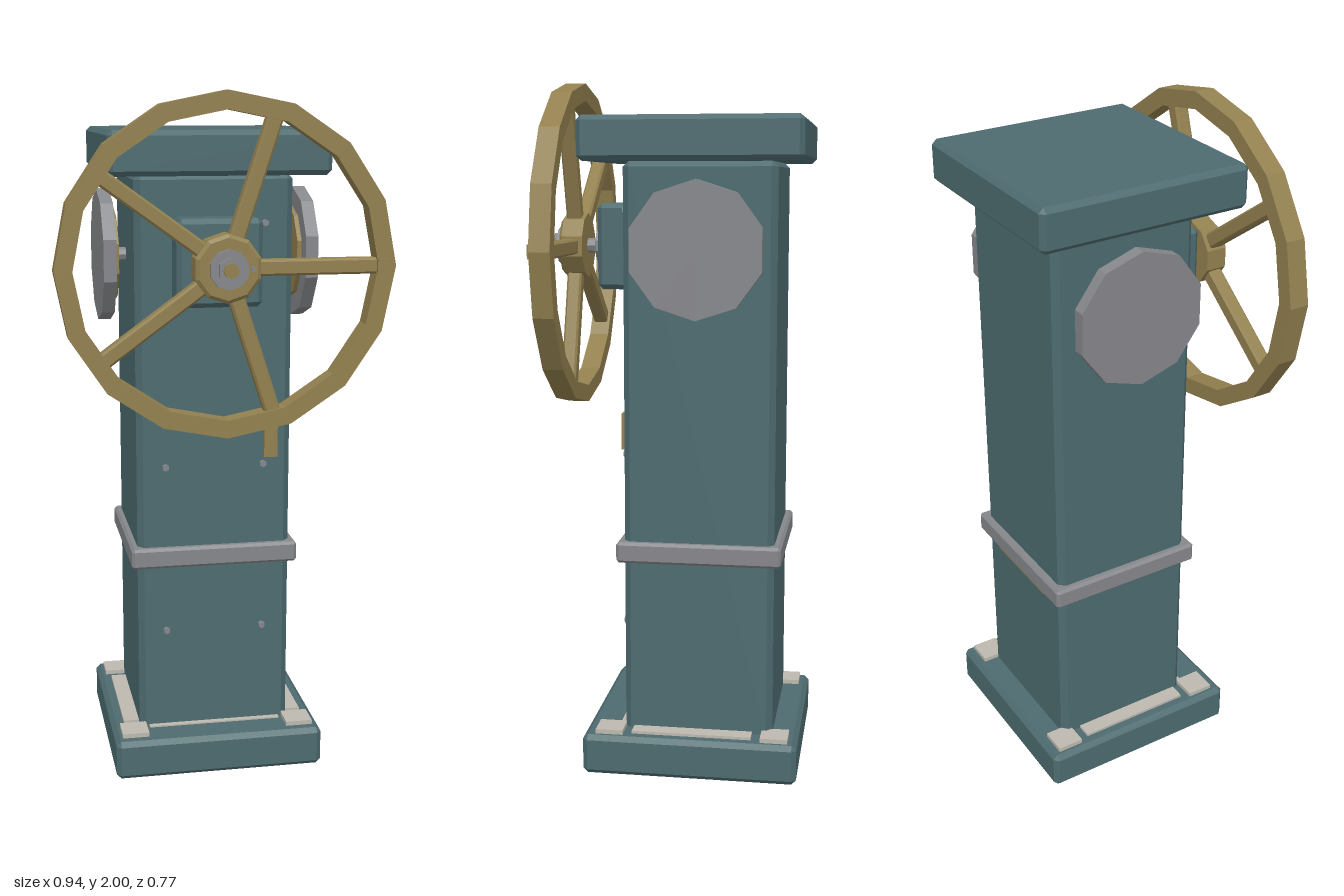
import * as THREE from 'three';
import { ConvexGeometry } from 'three/addons/geometries/ConvexGeometry.js';

const flat = (color, name) => {
  const m = new THREE.MeshStandardMaterial({ color, flatShading: true });
  m.name = name;
  return m;
};

// Box given by its x, y and z ranges, with every edge chamfered by c
function chamferBox([x0, x1], [y0, y1], [z0, z1], c) {
  const h = [(x1 - x0) / 2, (y1 - y0) / 2, (z1 - z0) / 2];
  const points = [];
  for (let axis = 0; axis < 3; axis++)
    for (const sx of [-1, 1]) for (const sy of [-1, 1]) for (const sz of [-1, 1]) {
      const s = [sx, sy, sz];
      points.push(new THREE.Vector3(...h.map((v, i) => s[i] * (i === axis ? v : v - c))));
    }
  return new ConvexGeometry(points).translate((x0 + x1) / 2, (y0 + y1) / 2, (z0 + z1) / 2);
}

function plainBox([x0, x1], [y0, y1], [z0, z1]) {
  return new THREE.BoxGeometry(x1 - x0, y1 - y0, z1 - z0)
    .translate((x0 + x1) / 2, (y0 + y1) / 2, (z0 + z1) / 2);
}

// Cylinder along z from z0 to z1
function zCylinder(r, z0, z1, sides, x = 0, y = 0, rFront = r) {
  return new THREE.CylinderGeometry(rFront, r, z1 - z0, sides)
    .rotateX(Math.PI / 2).translate(x, y, (z0 + z1) / 2);
}

// Cylinder along x from x0 to x1
function xCylinder(r, x0, x1, sides, y, z) {
  return new THREE.CylinderGeometry(r, r, x1 - x0, sides)
    .rotateZ(Math.PI / 2).rotateX(Math.PI / 2).translate((x0 + x1) / 2, y, z);
}

export function createModel() {
  const teal = flat(0x4d6b6f, 'teal paint');
  const steel = flat(0x86878b, 'grey steel');
  const brass = flat(0x92804f, 'aged brass');
  const pale = flat(0xbdb9af, 'pale plate');

  const model = new THREE.Group();
  model.name = 'handwheelPedestal';
  const add = (name, geometry, material, parent = model) => {
    const mesh = new THREE.Mesh(geometry, material);
    mesh.name = name;
    parent.add(mesh);
    return mesh;
  };

  // Column, base and cap
  const midZ = -0.09, axisY = 1.53;
  add('base', chamferBox([-0.312, 0.312], [0, 0.118], [-0.385, 0.241], 0.014), teal);
  add('column', chamferBox([-0.228, 0.228], [0.1, 1.775], [-0.308, 0.128], 0.018), teal);
  add('cap', chamferBox([-0.312, 0.312], [1.772, 1.895], [-0.385, 0.241], 0.014), teal);
  add('band', chamferBox([-0.248, 0.248], [0.625, 0.686], [-0.329, 0.149], 0.008), steel);
  add('rearPlate', plainBox([-0.14, 0.14], [0.61, 0.68], [-0.318, -0.3]), brass);

  // Pale foot plates on the base
  for (const side of [-1, 1]) {
    const span = (a, b) => (side > 0 ? [a, b] : [-b, -a]);
    for (const [z0, z1] of [[0.125, 0.205], [-0.358, -0.278]])
      add('cornerPad', plainBox(span(0.21, 0.29), [0.112, 0.131], [z0, z1]), pale);
    add('sideStrip', plainBox(span(0.22, 0.275), [0.112, 0.126], [-0.25, 0.1]), pale);
  }
  add('frontStrip', plainBox([-0.2, 0.2], [0.112, 0.122], [0.1, 0.145]), pale);

  // Round side covers
  for (const side of [-1, 1]) {
    const span = (a, b) => (side > 0 ? [a, b] : [-b, -a]);
    const cover = new THREE.Group();
    cover.name = side > 0 ? 'leftCover' : 'rightCover';
    model.add(cover);
    add('coverDisc', xCylinder(0.193, ...span(0.275, 0.312), 10, axisY, midZ), steel, cover);
    add('coverRing', xCylinder(0.138, ...span(0.262, 0.277), 10, axisY, midZ), brass, cover);
    add('coverPin', xCylinder(0.02, ...span(0.2, 0.27), 8, axisY, midZ), steel, cover);
  }

  // Front gearbox, bolts and latch
  add('gearbox', chamferBox([-0.122, 0.122], [1.408, 1.655], [0.11, 0.222], 0.014), teal);
  for (const x of [-0.145, 0.145])
    for (const y of [0.425, 0.93, 1.635])
      add('bolt', zCylinder(0.01, 0.12, 0.142, 6, x, y), steel);
  add('latch', plainBox([0.147, 0.187], [0.95, 1.055], [0.12, 0.141]), brass);

  // Shaft
  add('shaftCollar', zCylinder(0.05, 0.215, 0.243, 10, 0, axisY), steel);
  add('shaft', zCylinder(0.022, 0.22, 0.3, 8, 0, axisY), steel);

  // Handwheel, built around its own axis
  const wheel = new THREE.Group();
  wheel.name = 'handwheel';
  wheel.position.y = axisY;
  model.add(wheel);

  const polygon = (Type, r, sides) => {
    const points = [];
    for (let i = 0; i < sides; i++) {
      const a = (i / sides) * Math.PI * 2;
      points.push(new THREE.Vector2(r * Math.cos(a), r * Math.sin(a)));
    }
    return new Type(points);
  };
  const rimShape = polygon(THREE.Shape, 0.47, 16);
  rimShape.holes.push(polygon(THREE.Path, 0.42, 16));
  add('rim', new THREE.ExtrudeGeometry(rimShape, { depth: 0.059, bevelEnabled: false })
    .translate(0, 0, 0.277), brass, wheel);
  add('rimMark', plainBox([0.417, 0.463], [-0.02, 0.02], [0.33, 0.341]), brass, wheel);

  for (let i = 0; i < 5; i++) {
    const spoke = add('spoke', chamferBox([0.06, 0.425], [-0.022, 0.022], [0.285, 0.328], 0.006), brass, wheel);
    spoke.rotation.z = (i / 5) * Math.PI * 2;
  }

  // Hub stack and its small screws
  add('hub', zCylinder(0.095, 0.273, 0.335, 10), brass, wheel);
  add('hubFace', zCylinder(0.095, 0.335, 0.343, 10, 0, 0, 0.085), brass, wheel);
  add('washer', zCylinder(0.055, 0.34, 0.358, 10), steel, wheel);
  add('nut', zCylinder(0.035, 0.355, 0.375, 6), steel, wheel);
  add('shaftTip', zCylinder(0.021, 0.37, 0.385, 8), brass, wheel);
  add('hubScrew', zCylinder(0.008, 0.34, 0.352, 6, 0.067, 0), steel, wheel);

  return model;
}
